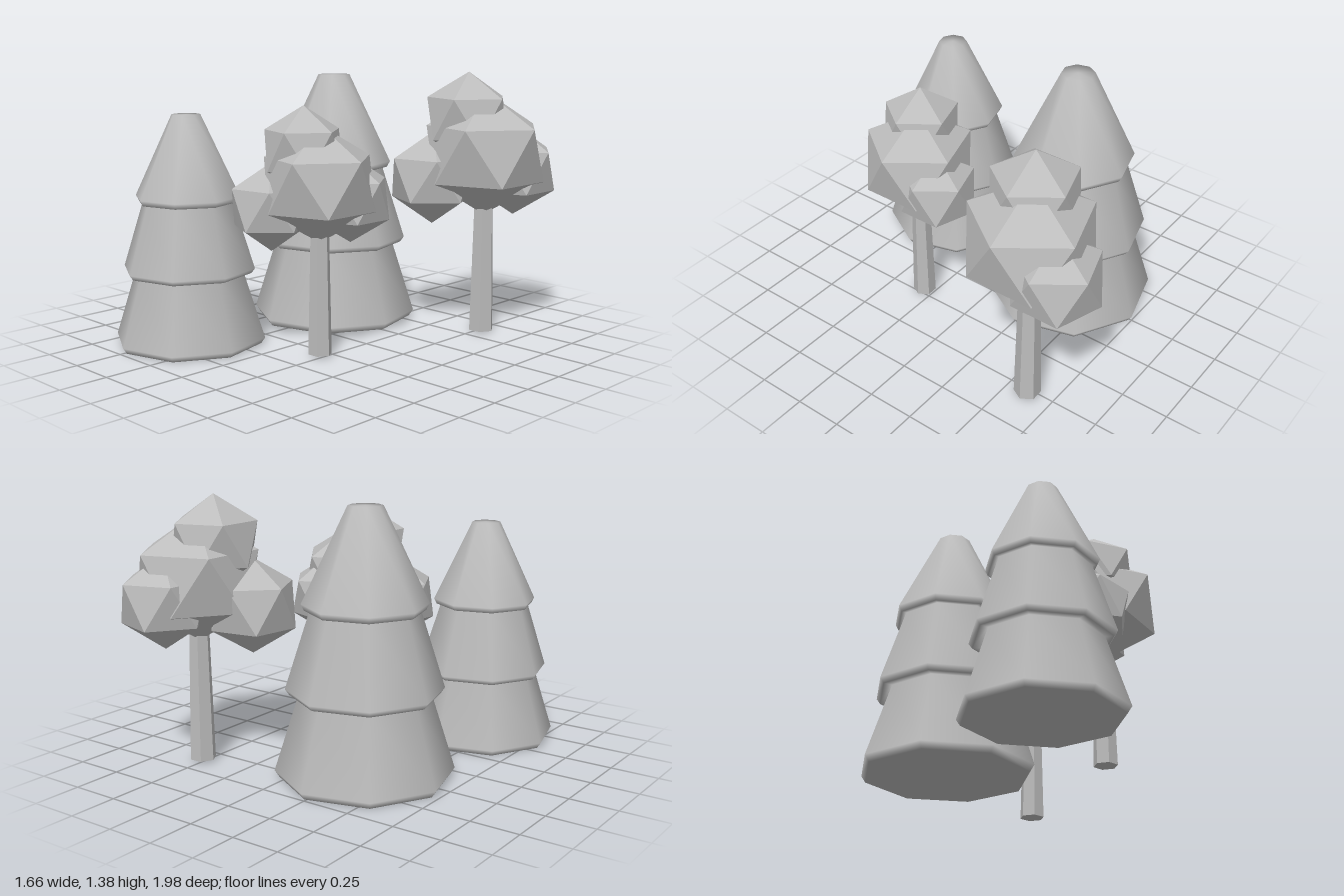
import * as THREE from 'three';

const grey = new THREE.MeshStandardMaterial({ color: 0xbcbcbc });
grey.name = 'grey';
const facetedGrey = grey.clone();
facetedGrey.name = 'facetedGrey';
facetedGrey.flatShading = true;

const rad = THREE.MathUtils.degToRad;

function add(parent, name, geometry, material) {
  const mesh = new THREE.Mesh(geometry, material);
  mesh.name = name;
  parent.add(mesh);
  return mesh;
}

// Conifer: three eight-sided flared tiers turned as one smooth profile
function conifer(name, x, z, scale) {
  const tree = new THREE.Group();
  tree.name = name;
  const profile = [
    [0, 0], [0.372, 0], [0.392, 0.03], [0.285, 0.37],
    [0.325, 0.37], [0.343, 0.395], [0.235, 0.737],
    [0.258, 0.737], [0.272, 0.765], [0.075, 1.18], [0, 1.18],
  ].map(([r, y]) => new THREE.Vector2(r, y));
  add(tree, 'foliageTiers', new THREE.LatheGeometry(profile, 8, rad(-7)), grey);
  tree.position.set(x, 0, z);
  tree.scale.setScalar(scale);
  return tree;
}

// Icosahedron standing on one corner, turned about the vertical
function clump(radius, turn) {
  return new THREE.IcosahedronGeometry(radius, 0)
    .rotateX(-Math.atan((1 + Math.sqrt(5)) / 2))
    .rotateY(rad(turn));
}

// Broadleaf tree: tapered six-sided trunk under four faceted clumps
function broadleaf(name, x, z, scale) {
  const tree = new THREE.Group();
  tree.name = name;
  const trunk = new THREE.CylinderGeometry(0.047, 0.061, 0.64, 6).rotateY(rad(32));
  add(tree, 'trunk', trunk, facetedGrey).position.y = 0.32;

  const clumps = [
    // name, radius, turn, centre, vertical stretch
    ['mainClump', 0.308, 18, [0, 0.853, 0], 0.94],
    ['topClump', 0.216, 18, [-0.074, 1.018, 0.037], 1],
    ['frontClump', 0.221, -27, [-0.208, 0.731, 0.13], 1],
    ['backClump', 0.216, 18, [0.052, 0.766, -0.162], 1],
  ];
  for (const [label, radius, turn, centre, stretch] of clumps) {
    const mesh = add(tree, label, clump(radius, turn), facetedGrey);
    mesh.position.set(...centre);
    mesh.scale.y = stretch;
  }
  tree.position.set(x, 0.01, z);
  tree.scale.setScalar(scale);
  return tree;
}

export function createModel() {
  const grove = new THREE.Group();
  grove.name = 'grove';
  grove.add(
    conifer('frontConifer', -0.44, 0.6, 1),
    conifer('backConifer', -0.292, -0.31, 1.145),
    broadleaf('frontBroadleaf', 0.218, 0.305, 1),
    broadleaf('backBroadleaf', 0.52, -0.61, 1.112),
  );
  return grove;
}
